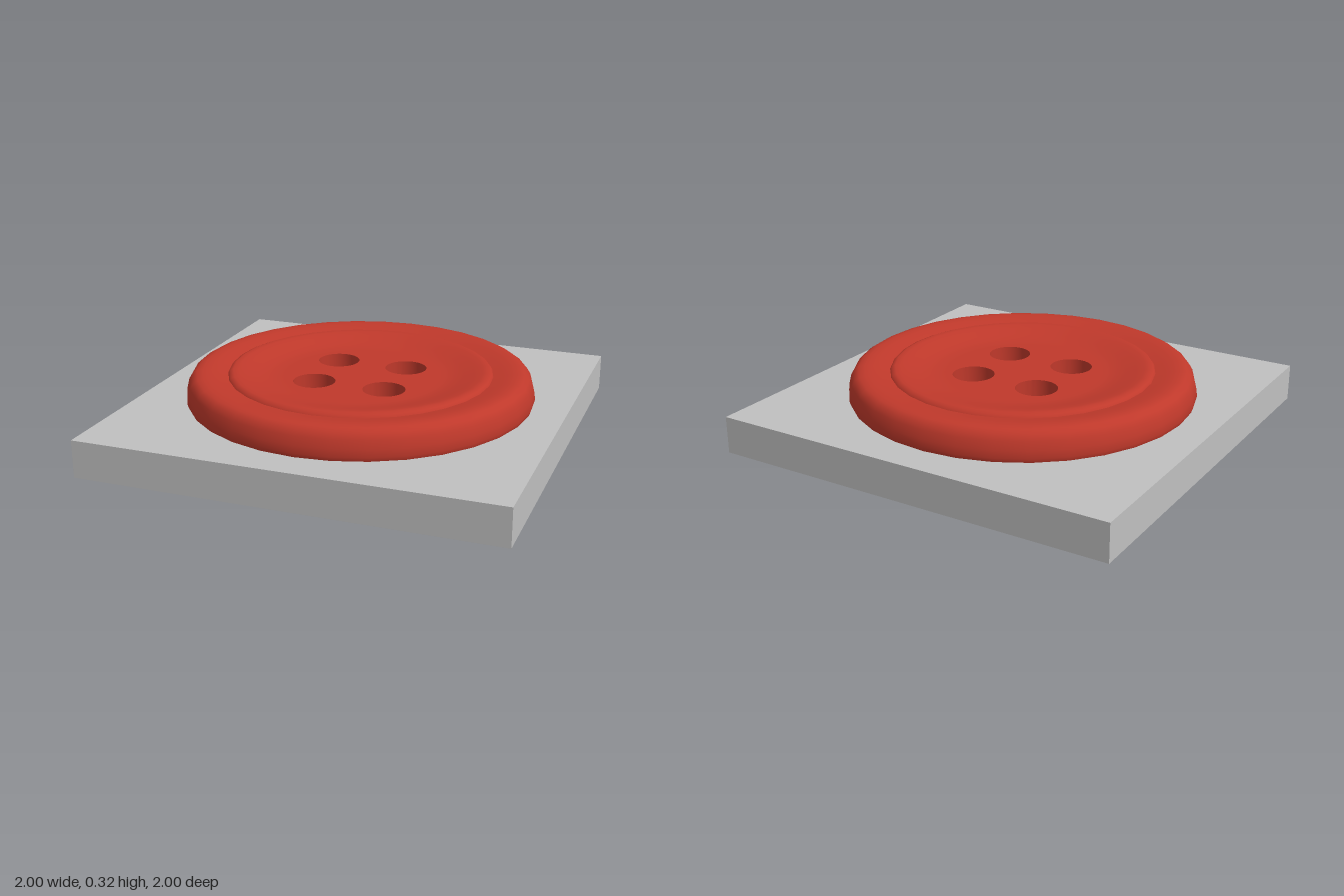
import * as THREE from 'three';
import { toCreasedNormals } from 'three/addons/utils/BufferGeometryUtils.js';

const SIDES = 32;
const BASE_TOP = 0.18;
const FLOOR = 0.284; // height of the flat middle of the button
const FLOOR_RADIUS = 0.37;

function addMesh(parent, name, geometry, material) {
  const mesh = new THREE.Mesh(geometry, material);
  mesh.name = name;
  parent.add(mesh);
  return mesh;
}

// Profiles run from the outside inwards, as [radius, height]
function lathe(profile) {
  return new THREE.LatheGeometry(profile.map(([r, y]) => new THREE.Vector2(r, y)), SIDES);
}

export function createModel() {
  const model = new THREE.Group();
  model.name = 'buttonOnPlate';

  const grey = new THREE.MeshStandardMaterial({ color: 0xc0c0c0 });
  grey.name = 'plate grey';
  const red = new THREE.MeshStandardMaterial({ color: 0xc0392b });
  red.name = 'button red';

  // Square plate underneath
  addMesh(model, 'basePlate', new THREE.BoxGeometry(2, BASE_TOP, 2), grey).position.y = BASE_TOP / 2;

  const button = new THREE.Group();
  button.name = 'button';
  model.add(button);

  // Rounded outer rim, sloping in to a shallow groove
  addMesh(button, 'rim', lathe([
    [0.835, BASE_TOP], [0.842, 0.2], [0.838, 0.235], [0.828, 0.275], [0.812, 0.302],
    [0.79, 0.316], [0.76, 0.321], [0.72, 0.318], [0.68, 0.31], [0.64, 0.302],
  ]), red);

  // Raised inner lip curving down into the dish
  addMesh(button, 'dish', lathe([
    [0.64, 0.302], [0.632, 0.314], [0.615, 0.321], [0.59, 0.319], [0.55, 0.311],
    [0.5, 0.298], [0.45, 0.288], [0.41, FLOOR], [FLOOR_RADIUS, FLOOR],
  ]), red);

  // Flat middle with four thread holes
  const outline = [];
  for (let i = 0; i < SIDES; i++) {
    const a = (i / SIDES) * Math.PI * 2;
    outline.push(new THREE.Vector2(Math.cos(a), Math.sin(a)).multiplyScalar(FLOOR_RADIUS));
  }
  const disc = new THREE.Shape(outline);
  for (const x of [-0.176, 0.176]) {
    for (const z of [-0.166, 0.166]) {
      disc.holes.push(new THREE.Path().absarc(x, z, 0.101, 0, Math.PI * 2, true));
    }
  }
  const middle = new THREE.ExtrudeGeometry(disc, {
    depth: FLOOR - BASE_TOP, bevelEnabled: false, curveSegments: SIDES,
  });
  middle.rotateX(-Math.PI / 2).translate(0, BASE_TOP, 0);
  addMesh(button, 'holedMiddle', toCreasedNormals(middle, 0.6), red);

  return model;
}
